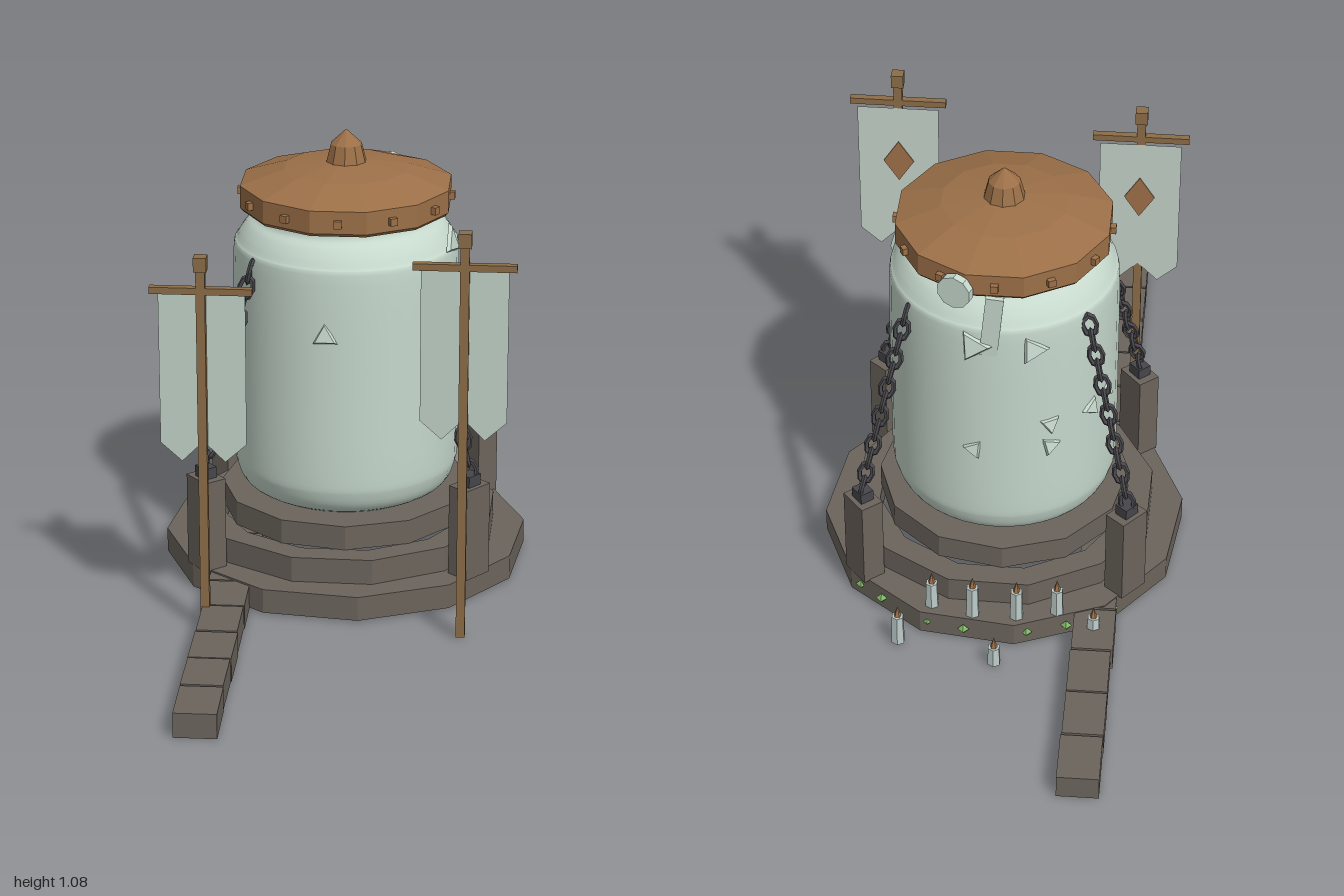
import * as THREE from 'three';

const mat = (name, color) => {
  const m = new THREE.MeshStandardMaterial({ color });
  m.name = name;
  return m;
};

export function createModel() {
  const stone = mat('stone', 0x6b645c), pale = mat('paleGlass', 0xc6d8cc), copper = mat('copper', 0x9c7048);
  const wood = mat('wood', 0x8c6c48), iron = mat('iron', 0x46464b), wax = mat('wax', 0xbccbc8);
  const green = mat('moss', 0x7fb865), cloth = mat('cloth', 0xc0d0c5);
  cloth.side = THREE.DoubleSide;

  const root = new THREE.Group();
  const shrine = new THREE.Group();
  shrine.name = 'shrine';
  shrine.position.z = -0.07;
  root.add(shrine);

  let seed = 7;
  const rnd = () => (seed = (seed * 16807) % 2147483647) / 2147483647 - 0.5;
  const flat = (g) => {
    const f = g.index ? g.toNonIndexed() : g;
    f.computeVertexNormals();
    return f;
  };
  const add = (parent, name, geo, material, x = 0, y = 0, z = 0) => {
    const m = new THREE.Mesh(geo, material);
    m.name = name;
    m.position.set(x, y, z);
    parent.add(m);
    return m;
  };
  const box = (w, h, d) => new THREE.BoxGeometry(w, h, d);
  const polar = (r, a) => [r * Math.sin(a), r * Math.cos(a)];
  const rad = THREE.MathUtils.degToRad;
  const lathe = (pts, n) => new THREE.LatheGeometry(pts.map((p) => new THREE.Vector2(...p)), n);

  // Stepped twelve-sided plinth, hollow underneath
  const ring = (outer, inner, y0, h, turn) => {
    const poly = (r) => Array.from({ length: 12 }, (_, i) => {
      const a = rad(turn + i * 30);
      return new THREE.Vector2(r * Math.cos(a), r * Math.sin(a));
    });
    const s = new THREE.Shape(poly(outer));
    if (inner) s.holes.push(new THREE.Path(poly(inner).reverse()));
    const g = new THREE.ExtrudeGeometry(s, { depth: h, bevelEnabled: false });
    add(shrine, 'plinthStep', g.rotateX(-Math.PI / 2), stone, 0, y0, 0);
  };
  ring(0.443, 0.36, 0.008, 0.06, 8);
  ring(0.372, 0.31, 0.068, 0.062, 14);
  ring(0.305, 0, 0.13, 0.06, 4);

  // Jar body
  const body = new THREE.SplineCurve([
    [0.215, 0.19], [0.25, 0.212], [0.268, 0.25], [0.273, 0.3], [0.273, 0.5], [0.272, 0.78],
    [0.262, 0.825], [0.238, 0.86], [0.216, 0.878], [0.21, 0.905],
  ].map((p) => new THREE.Vector2(...p))).getPoints(36);
  add(shrine, 'jar', new THREE.LatheGeometry([new THREE.Vector2(0.001, 0.19), ...body], 40), pale);

  // Faceted lid, knob and rim studs
  const lid = lathe([[0.001, 0.897], [0.25, 0.897], [0.257, 0.905], [0.257, 0.96], [0.15, 0.995], [0.045, 1.01], [0.001, 1.012]], 12);
  add(shrine, 'lid', flat(lid.rotateY(rad(15))), copper);
  add(shrine, 'lidKnob', flat(lathe([[0.05, 1.005], [0.038, 1.052], [0.001, 1.087]], 10)), copper);
  for (let i = 0; i < 12; i++) {
    const a = rad(i * 30), [x, z] = polar(0.25, a);
    add(shrine, 'lidStud', box(0.018, 0.018, 0.022), copper, x, 0.93, z).rotation.y = a;
  }

  // Corner pillars with chains rising to the jar shoulder
  const link = flat(new THREE.TorusGeometry(0.016, 0.006, 5, 8).scale(1, 1.55, 1));
  for (const sx of [1, -1]) for (const sz of [1, -1]) {
    const a = Math.atan2(sx * 0.315, sz * 0.268);
    const pillar = new THREE.Group();
    pillar.name = 'pillar';
    pillar.position.set(sx * 0.315, 0, sz * 0.268);
    pillar.rotation.y = a;
    shrine.add(pillar);
    add(pillar, 'pillarStone', box(0.08, 0.23, 0.058), stone, 0, 0.18, 0);
    add(pillar, 'chainAnchor', box(0.04, 0.028, 0.035), iron, 0, 0.308, 0);
    const from = new THREE.Vector3(0, 0.33, 0), to = new THREE.Vector3(0, 0.785, -0.133);
    const tilt = Math.atan2(to.z - from.z, to.y - from.y);
    for (let i = 0; i < 13; i++) {
      const p = from.clone().lerp(to, i / 12);
      const m = add(pillar, 'chainLink', link, iron, p.x, p.y, p.z);
      m.rotation.set(tilt, i % 2 ? Math.PI / 4 : -Math.PI / 4, 0);
    }
  }

  // Raised splinters on the jar: angle from the front, height, size
  for (const [deg, y, r] of [[-6, 0.66, 0.034], [75, 0.835, 0.045], [170, 0.775, 0.045], [-161, 0.765, 0.04],
    [170, 0.47, 0.028], [-152, 0.535, 0.028], [-152, 0.47, 0.028], [-127, 0.53, 0.03], [-113, 0.54, 0.025]]) {
    const a = rad(deg), [x, z] = polar(y > 0.8 ? 0.268 : 0.278, a);
    const g = flat(new THREE.CylinderGeometry(r * 0.8, r, 0.009, 3).rotateX(Math.PI / 2).rotateZ(rnd() * 2));
    add(shrine, 'splinter', g, pale, x, y, z).rotation.set(-0.2, a, 0, 'YXZ');
  }

  // Seal and ribbon hanging from the back of the rim
  const disc = new THREE.CylinderGeometry(0.042, 0.042, 0.02, 10).rotateX(Math.PI / 2);
  add(shrine, 'seal', flat(disc), pale, 0.09, 0.915, -0.25).rotation.y = 2.8;
  const ribbon = add(shrine, 'ribbon', box(0.042, 0.17, 0.012), pale, 0.005, 0.835, -0.272);
  ribbon.rotation.set(-0.06, 0, 0.1);

  // Row of kerb stones
  for (let i = 0; i < 14; i++) {
    const m = add(root, 'kerbStone', box(0.098 + rnd() * 0.004, 0.06, 0.1369), stone,
      -0.25 + rnd() * 0.004, 0.035 + rnd() * 0.004, -1 + (i + 0.5) / 7);
    m.rotation.y = rnd() * 0.02;
  }

  // Banners on posts, swallow-tailed cloth with a diamond on the back
  const banner = (x, top) => {
    const b = new THREE.Group();
    b.name = 'banner';
    b.position.set(x, top, 0.43);
    root.add(b);
    add(b, 'bannerPost', box(0.021, top - 0.035, 0.021), wood, 0, -(top + 0.02) / 2, 0);
    add(b, 'bannerCap', box(0.03, 0.034, 0.03), wood, 0, -0.017, 0);
    add(b, 'bannerBar', box(0.236, 0.016, 0.018), wood, 0, -0.082, 0);
    const s = new THREE.Shape([[-0.1, -0.095], [-0.1, -0.46], [-0.05, -0.505], [0, -0.455], [0.05, -0.505],
      [0.1, -0.46], [0.1, -0.095]].map((p) => new THREE.Vector2(...p)));
    add(b, 'bannerCloth', new THREE.ShapeGeometry(s), cloth, 0, 0, -0.012);
    const d = new THREE.CylinderGeometry(0.05, 0.05, 0.003, 4).rotateX(Math.PI / 2).scale(0.75, 1.15, 1);
    add(b, 'bannerDiamond', flat(d), copper, 0, -0.25, -0.0145);
  };
  banner(-0.292, 0.928);
  banner(0.307, 1.0);

  // Offering candles behind the plinth: x, z, foot height, candle height
  for (const [x, z, y, h] of [[-0.25, -0.49, 0.065, 0.03], [-0.16, -0.45, 0.068, 0.07], [-0.065, -0.475, 0.068, 0.08],
    [-0.02, -0.575, 0.008, 0.05], [0.04, -0.475, 0.068, 0.085], [0.14, -0.45, 0.068, 0.07], [0.215, -0.52, 0.008, 0.08]]) {
    add(root, 'candle', flat(new THREE.CylinderGeometry(0.015, 0.017, h, 6)), wax, x, y + h / 2, z);
    add(root, 'candleFlame', flat(new THREE.ConeGeometry(0.009, 0.03, 5)), copper, x, y + h + 0.015, z);
  }

  // Moss tufts on the back of the lowest step
  for (const deg of [-48, -38, -20, -8, 12, 25, 42]) {
    const [x, z] = polar(0.434, Math.PI + rad(deg));
    add(shrine, 'mossTuft', flat(new THREE.OctahedronGeometry(0.014)), green, x, 0.038 + rnd() * 0.012, z);
  }
  return root;
}
